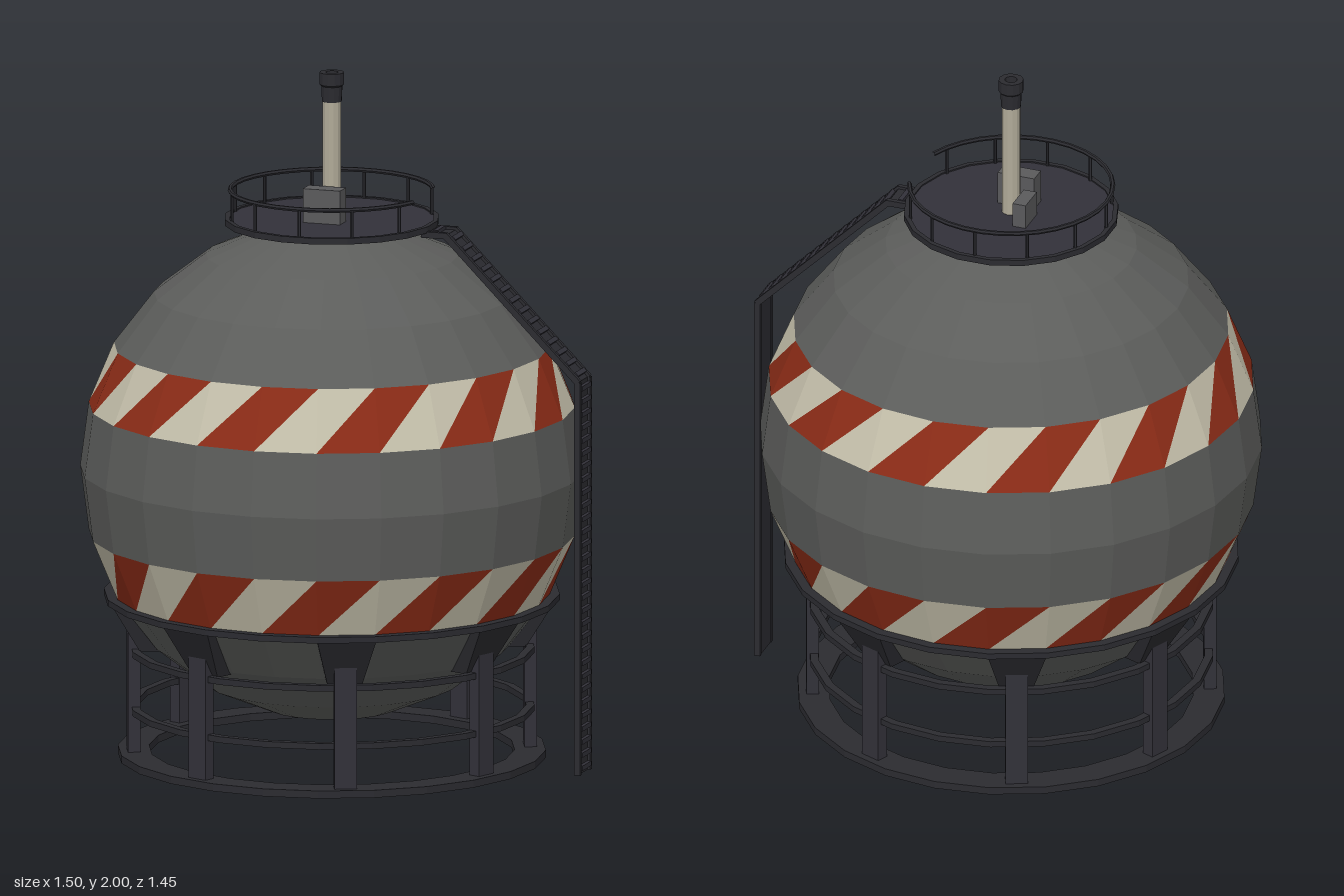
import * as THREE from 'three';

const mat = (color) => new THREE.MeshStandardMaterial({ color, flatShading: true });
const STEEL = mat(0x2b2b30), DECK = mat(0x323139), SHELL = mat(0x5c5d5b);
const RED = mat(0x8c2c17), CREAM = mat(0xc6c1ac), MAST = mat(0xb0aa98), UNIT = mat(0x5a5a5c);

const R = 0.723, CY = 0.84, SEG = 24, STEP = Math.PI / 12;

function add(parent, name, geometry, material, x = 0, y = 0, z = 0) {
  const mesh = new THREE.Mesh(geometry, material);
  mesh.name = name;
  mesh.position.set(x, y, z);
  parent.add(mesh);
  return mesh;
}

// Flat ring with a rectangular section
function ring(ri, ro, y0, y1, seg = SEG) {
  const pts = [[ro, y0], [ro, y1], [ri, y1], [ri, y0], [ro, y0]];
  return new THREE.LatheGeometry(pts.map(([r, y]) => new THREE.Vector2(r, y)), seg);
}

function fromTriangles(points) {
  const g = new THREE.BufferGeometry().setFromPoints(points);
  g.computeVertexNormals();
  return g;
}

// Faceted sphere; two latitude bands are split along diagonals into stripes
function buildTank() {
  const tank = new THREE.Group();
  tank.name = 'tank';
  const shell = [], red = [], cream = [];
  const at = (row, j) => {
    const lat = row * STEP, a = j * STEP, r = R * Math.cos(lat);
    return new THREE.Vector3(r * Math.sin(a), CY + R * Math.sin(lat), r * Math.cos(a));
  };
  for (let row = -6; row < 6; row++) {
    const phase = row === 1 ? 1 : row === -2 ? 0 : -1;
    for (let j = 0; j < SEG; j++) {
      const b0 = at(row, j), b1 = at(row, j + 1), t0 = at(row + 1, j), t1 = at(row + 1, j + 1);
      const striped = phase >= 0;
      const isRed = j % 2 === phase;
      const lower = striped ? (isRed ? red : cream) : shell;
      const upper = striped ? (isRed ? cream : red) : shell;
      if (row > -6) lower.push(b0, b1, t1);
      else upper.push(b0, t1, t0);
      if (row > -6 && row < 5) upper.push(b0, t1, t0);
    }
  }
  add(tank, 'shell', fromTriangles(shell), SHELL);
  add(tank, 'redStripes', fromTriangles(red), RED);
  add(tank, 'creamStripes', fromTriangles(cream), CREAM);
  return tank;
}

// Tapered saddle bracket that leans in towards the shell
function bracketGeometry() {
  const g = new THREE.BoxGeometry(2, 0.145, 1);
  const p = g.attributes.position;
  for (let i = 0; i < p.count; i++) {
    const top = p.getY(i) > 0, outer = p.getZ(i) > 0;
    p.setX(i, p.getX(i) * (top ? 0.085 : 0.05));
    p.setZ(i, outer ? (top ? 0.64 : 0.555) : (top ? 0.56 : 0.48));
  }
  g.computeVertexNormals();
  return g;
}

function buildStand() {
  const stand = new THREE.Group();
  stand.name = 'stand';
  add(stand, 'baseRing', ring(0.525, 0.615, 0, 0.022), STEEL);
  add(stand, 'lowerBrace', ring(0.558, 0.582, 0.136, 0.154), STEEL);
  add(stand, 'upperBrace', ring(0.558, 0.582, 0.306, 0.324), STEEL);
  add(stand, 'cradleRing', ring(0.59, 0.655, 0.462, 0.48), STEEL);
  const bracket = bracketGeometry();
  for (let i = 0; i < 8; i++) {
    const support = new THREE.Group();
    support.name = 'support';
    support.rotation.y = (i + 0.5) * Math.PI / 4;
    add(support, 'leg', new THREE.BoxGeometry(0.064, 0.395, 0.036), DECK, 0, 0.2075, 0.57);
    add(support, 'bracket', bracket, STEEL, 0, 0.3925, 0);
    stand.add(support);
  }
  return stand;
}

function buildPlatform() {
  const platform = new THREE.Group();
  platform.name = 'platform';
  const flat = (g) => g.rotateY(Math.PI / 20);
  add(platform, 'collar', new THREE.CylinderGeometry(0.225, 0.19, 0.034, 24), STEEL, 0, 1.549);
  add(platform, 'deck', flat(new THREE.CylinderGeometry(0.305, 0.305, 0.012, 20)), DECK, 0, 1.566);
  add(platform, 'deckCurb', flat(ring(0.295, 0.309, 1.558, 1.576, 20)), STEEL);

  // Handrail, open on the ladder side
  const gap = 0.33;
  const rail = new THREE.TorusGeometry(0.292, 0.007, 6, 30, 2 * Math.PI - 2 * gap);
  rail.rotateZ(gap).rotateX(Math.PI / 2);
  add(platform, 'handrail', rail, STEEL, 0, 1.655);
  for (let i = 1; i < 12; i++) {
    const a = i * Math.PI / 6;
    add(platform, 'railPost', new THREE.CylinderGeometry(0.005, 0.005, 0.085, 6), STEEL,
      0.292 * Math.cos(a), 1.613, 0.292 * Math.sin(a));
  }

  // Mast with a hollow flared cap, and two equipment boxes
  add(platform, 'mast', new THREE.CylinderGeometry(0.027, 0.027, 0.36, 12), MAST, 0, 1.75);
  const cap = [[0.02, 1.915], [0.029, 1.915], [0.031, 1.96], [0.036, 1.965], [0.036, 2],
    [0.018, 2], [0.018, 1.94], [0, 1.94]];
  add(platform, 'mastCap', new THREE.LatheGeometry(cap.map(([r, y]) => new THREE.Vector2(r, y)), 12), STEEL);
  add(platform, 'largeCabinet', new THREE.BoxGeometry(0.112, 0.1, 0.053), UNIT, -0.003, 1.621, 0.058);
  add(platform, 'smallCabinet', new THREE.BoxGeometry(0.04, 0.075, 0.09), UNIT, -0.057, 1.608, -0.04);
  return platform;
}

// Ladder following the path from deck to ground
function buildLadder() {
  const ladder = new THREE.Group();
  ladder.name = 'ladder';
  const path = [[0.29, 1.553], [0.36, 1.553], [0.76, 1.15], [0.76, 0]];
  for (let i = 0; i < 3; i++) {
    const [x0, y0] = path[i], [x1, y1] = path[i + 1];
    const len = Math.hypot(x1 - x0, y1 - y0);
    const run = new THREE.Group();
    run.name = 'ladderRun';
    run.position.set((x0 + x1) / 2, (y0 + y1) / 2, 0);
    run.rotation.z = Math.atan2(y1 - y0, x1 - x0);
    add(run, 'backPlate', new THREE.BoxGeometry(len, 0.008, 0.09), STEEL, 0, -0.003);
    for (const s of [-1, 1]) {
      const over = i < 2 ? 0.006 : 0;
      add(run, 'sideRail', new THREE.BoxGeometry(len + over, 0.018, 0.014), STEEL, 0, 0, s * 0.045);
    }
    const count = Math.floor(len / 0.038);
    for (let k = 0; k < count; k++) {
      add(run, 'rung', new THREE.BoxGeometry(0.014, 0.014, 0.078), DECK,
        ((k + 0.5) / count - 0.5) * len, 0.005);
    }
    ladder.add(run);
  }
  return ladder;
}

export function createModel() {
  const model = new THREE.Group();
  model.name = 'sphericalStorageTank';
  const body = new THREE.Group();
  body.name = 'body';
  body.position.x = -0.024;
  body.add(buildTank(), buildStand(), buildPlatform(), buildLadder());
  model.add(body);
  return model;
}
